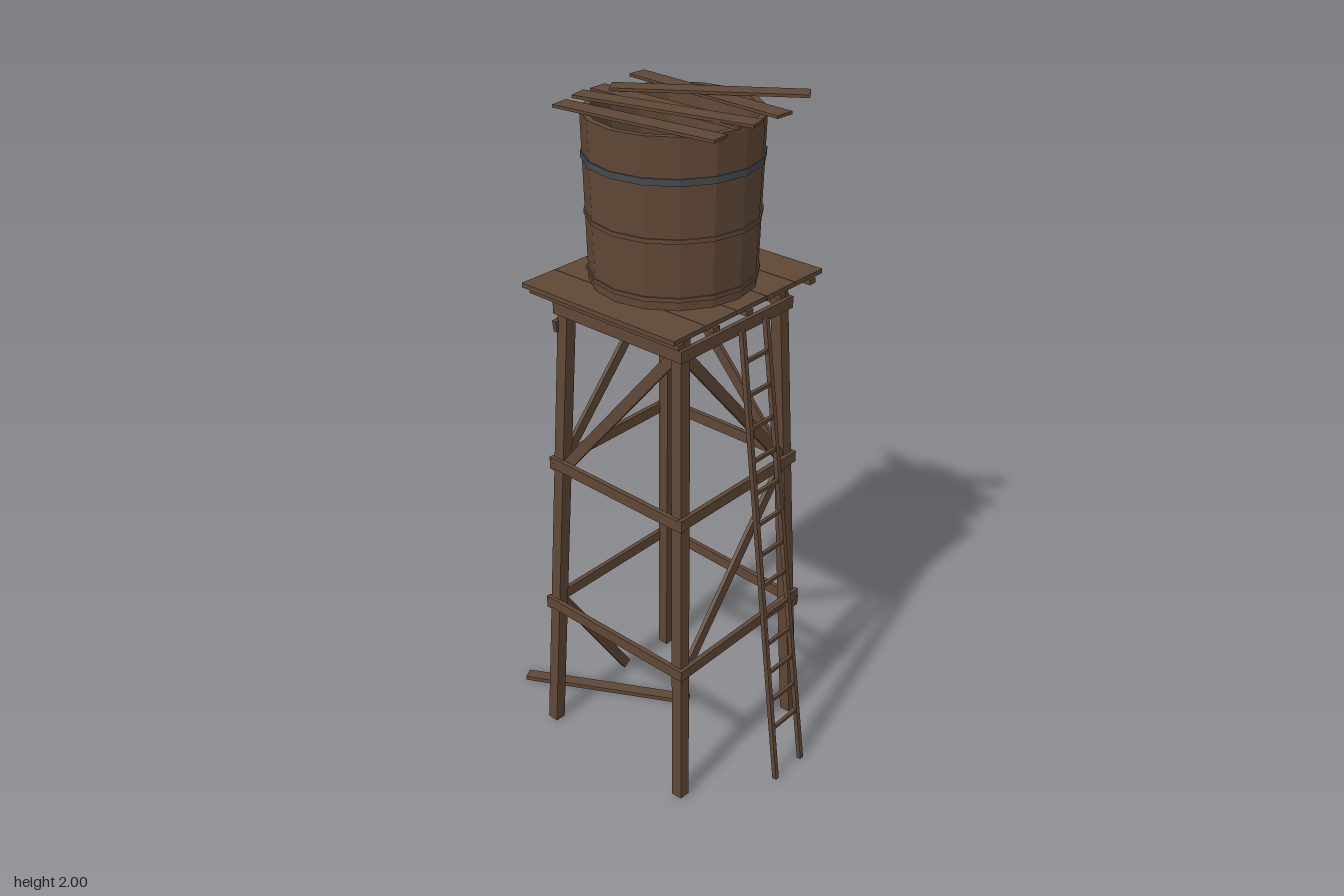
import * as THREE from 'three';

const CX = 0.022; // tower axis in x
const wood = new THREE.MeshStandardMaterial({ color: 0x5f4735 });
wood.name = 'weatheredWood';
const steel = new THREE.MeshStandardMaterial({ color: 0x42494f });
steel.name = 'blueSteel';

const V = (x, y, z) => new THREE.Vector3(x, y, z);
// half spacing of the leaning legs at height y
const half = (y) => 0.263 - 0.0407 * y;

export function createModel() {
  const model = new THREE.Group();
  model.name = 'waterTower';

  const add = (name, geo, mat = wood) => {
    const m = new THREE.Mesh(geo, mat);
    m.name = name;
    model.add(m);
    return m;
  };
  const box = (name, x, y, z, w, h, d) => add(name, new THREE.BoxGeometry(w, h, d)).position.set(x, y, z);

  // board from a to b: width lies across `normal`, thickness along it
  const board = (name, a, b, width, thick, normal) => {
    const dir = b.clone().sub(a);
    const m = add(name, new THREE.BoxGeometry(dir.length(), width, thick));
    dir.normalize();
    const side = normal.clone().cross(dir).normalize();
    const n = dir.clone().cross(side);
    m.quaternion.setFromRotationMatrix(new THREE.Matrix4().makeBasis(dir, side, n));
    m.position.copy(a).add(b).multiplyScalar(0.5);
  };

  // the four sides: t runs along the side, out is the distance beyond the leg centres
  const sides = {
    front: { n: V(0, 0, 1), at: (t, y, out) => V(CX + t, y, half(y) + out) },
    back: { n: V(0, 0, -1), at: (t, y, out) => V(CX + t, y, -half(y) - out) },
    left: { n: V(1, 0, 0), at: (t, y, out) => V(CX + half(y) + out, y, t) },
    right: { n: V(-1, 0, 0), at: (t, y, out) => V(CX - half(y) - out, y, t) },
  };

  // legs
  for (const sx of [-1, 1]) for (const sz of [-1, 1]) {
    board('leg', V(CX + sx * half(0), 0.005, sz * half(0)),
      V(CX + sx * half(1.5), 1.5, sz * half(1.5)), 0.035, 0.035, V(0, 0, 1));
  }

  // horizontal girts: heights at the negative and positive end of each side
  const girts = {
    front: [[0.46, 0.455], [0.95, 0.94], [1.435, 1.435]],
    back: [[0.455, 0.43], [0.945, 0.945], [1.435, 1.435]],
    left: [[0.455, 0.455], [0.945, 0.945], [1.435, 1.435]],
    right: [[0.455, 0.455], [0.945, 0.945], [1.44, 1.38]],
  };
  for (const key in girts) {
    const { n, at } = sides[key];
    for (const [y0, y1] of girts[key]) {
      const r = half((y0 + y1) / 2) + 0.027;
      board(key + 'Girt', at(-r, y0, 0.02), at(r, y1, 0.02), 0.034, 0.014, n);
    }
  }

  // diagonal braces: side, start t, y, end t, y
  const braces = [
    ['front', -0.2, 0.95, 0.195, 1.425],
    ['back', 0.2, 0.95, -0.195, 1.425],
    ['left', -0.21, 0.95, 0.195, 1.42],
    ['right', 0.21, 0.95, -0.195, 1.42],
    ['left', 0.225, 0.455, -0.215, 0.94],
    ['right', 0.225, 0.45, -0.07, 0.015],
  ];
  for (const [key, t0, y0, t1, y1] of braces) {
    const { n, at } = sides[key];
    board(key + 'Brace', at(t0, y0, 0.008), at(t1, y1, 0.008), 0.032, 0.012, n);
  }

  // platform: joists, battens and five deck boards
  for (const z of [-0.27, -0.14, 0, 0.135, 0.27]) box('joist', CX, 1.492, z, 0.53, 0.014, 0.025);
  for (const x of [-0.245, 0, 0.245]) box('batten', CX + x, 1.503, 0, 0.02, 0.01, 0.58);
  for (let i = 0; i < 5; i++) {
    box('deckBoard', CX, 1.514, (i - 2) * 0.1222, 0.54, 0.013, 0.1205);
  }

  // open tank with sixteen flat staves, slightly wider at the top
  const pts = [[0.001, 1.521], [0.228, 1.521], [0.24, 1.98], [0.222, 1.98], [0.2, 1.54], [0.001, 1.54]];
  const tankGeo = new THREE.LatheGeometry(pts.map((p) => new THREE.Vector2(...p)), 16).toNonIndexed();
  tankGeo.computeVertexNormals();
  add('tank', tankGeo).position.x = CX;

  // hoops
  for (const [y, h, mat] of [[1.865, 0.018, steel], [1.71, 0.012, wood], [1.55, 0.012, wood]]) {
    const r = 0.228 + 0.012 * (y - 1.521) / 0.459 + 0.004;
    const g = new THREE.LatheGeometry([[r - 0.008, y - h / 2], [r, y - h / 2], [r, y + h / 2], [r - 0.008, y + h / 2]]
      .map((p) => new THREE.Vector2(...p)), 16).toNonIndexed();
    g.computeVertexNormals();
    add('hoop', g, mat).position.x = CX;
  }

  // loose roof boards: x0, z0, x1, z1, y
  const roof = [
    [-0.25, -0.156, 0.282, -0.121, 1.986],
    [-0.24, 0.008, 0.26, 0.008, 1.984],
    [-0.222, 0.1, 0.285, -0.012, 1.99],
    [-0.207, 0.181, 0.284, 0.13, 1.986],
    [-0.19, 0.01, 0.238, -0.285, 1.996],
  ];
  for (const [x0, z0, x1, z1, y] of roof) {
    board('roofBoard', V(x0, y, z0), V(x1, y, z1), 0.056, 0.008, V(0, 1, 0));
  }

  // leaning ladder, narrower at the top
  const foot = (z) => V(0.458, 0.005, z), top = (z) => V(0.27, 1.44, z);
  const rails = [[0.022, 0.01], [-0.1, -0.09]].map(([z0, z1]) => [foot(z0), top(z1)]);
  for (const [a, b] of rails) board('ladderRail', a, b, 0.014, 0.014, V(0, 0, 1));
  for (let i = 0; i < 13; i++) {
    const k = (0.18 + i * 0.0975) / 1.44;
    board('ladderRung', rails[0][0].clone().lerp(rails[0][1], k),
      rails[1][0].clone().lerp(rails[1][1], k), 0.01, 0.01, V(1, 0, 0));
  }

  // plank fallen on the ground
  board('fallenPlank', V(-0.455, 0.008, 0.186), V(0.025, 0.008, -0.075), 0.036, 0.014, V(0, 1, 0));

  return model;
}
